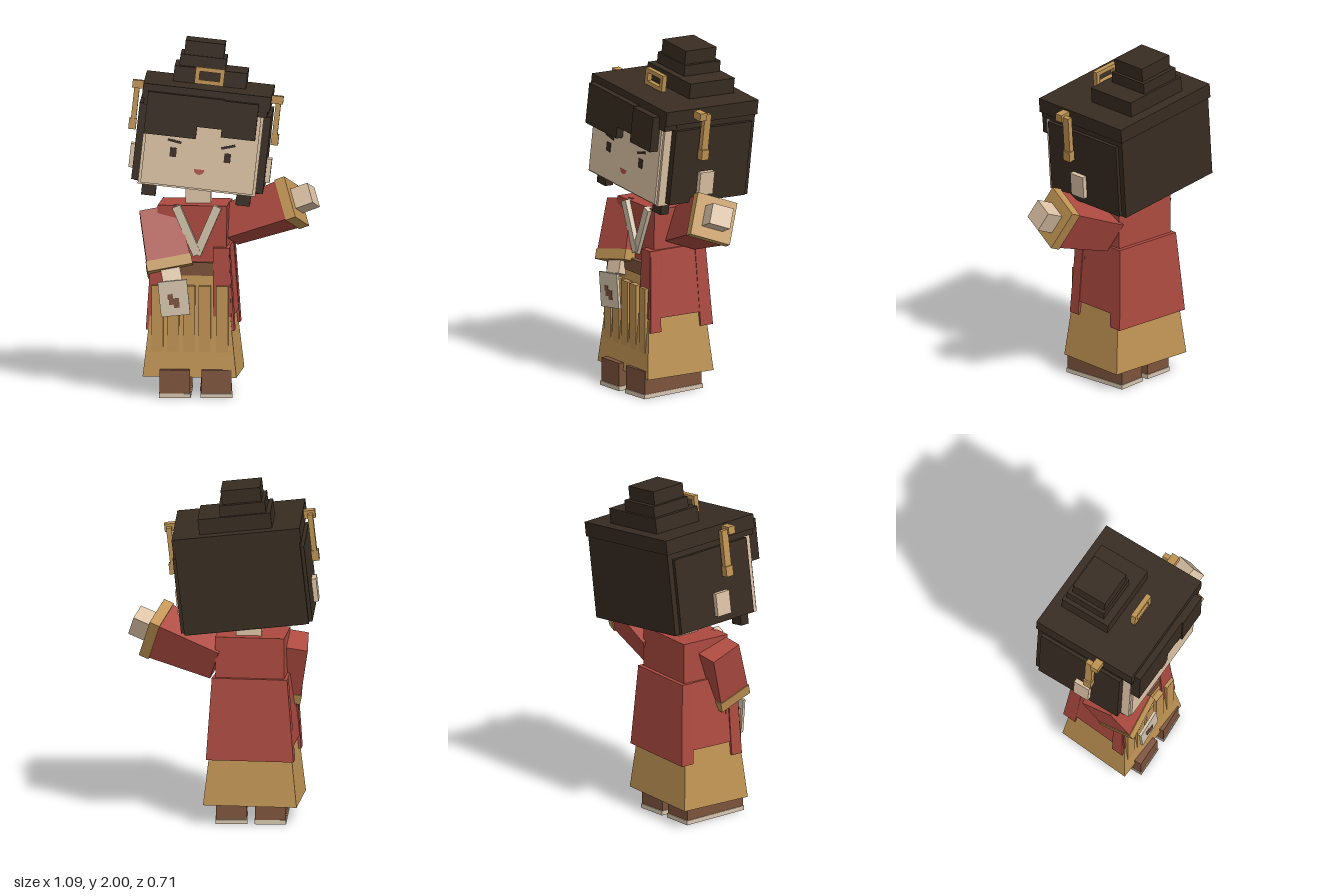
import * as THREE from 'three';

const mat = (name, color) => {
  const m = new THREE.MeshStandardMaterial({ color });
  m.name = name;
  return m;
};

export function createModel() {
  const hair = mat('dark hair', 0x382c22);
  const skin = mat('skin', 0xdcc2a5);
  const red = mat('red cloth', 0xac4a40);
  const gold = mat('gold cloth', 0xc09454);
  const brown = mat('brown leather', 0x7d533c);
  const cream = mat('cream cloth', 0xd6c6ae);
  const lip = mat('lip red', 0xb2544a);

  const model = new THREE.Group();
  model.name = 'robedFigure';

  const group = (name, parent, x, y, z) => {
    const g = new THREE.Group();
    g.name = name;
    g.position.set(x, y, z);
    parent.add(g);
    return g;
  };
  const add = (name, parent, geo, material) => {
    const m = new THREE.Mesh(geo, material);
    m.name = name;
    parent.add(m);
    return m;
  };
  // box from its extents
  const box = (name, parent, material, [x0, x1], [y0, y1], [z0, z1]) => {
    const m = add(name, parent, new THREE.BoxGeometry(x1 - x0, y1 - y0, z1 - z0), material);
    m.position.set((x0 + x1) / 2, (y0 + y1) / 2, (z0 + z1) / 2);
    return m;
  };
  // box whose bottom and top rectangles differ: [x0, x1, z0, z1]
  const taper = (name, parent, material, y0, bottom, y1, top) => {
    const geo = new THREE.BoxGeometry(1, 1, 1);
    const p = geo.attributes.position;
    for (let i = 0; i < p.count; i++) {
      const up = p.getY(i) > 0, r = up ? top : bottom;
      p.setXYZ(i, p.getX(i) > 0 ? r[1] : r[0], up ? y1 : y0, p.getZ(i) > 0 ? r[3] : r[2]);
    }
    geo.computeVertexNormals();
    return add(name, parent, geo, material);
  };
  const mirror = ([a, b], s) => (s > 0 ? [a, b] : [-b, -a]);

  // ---- Shoes
  for (const s of [-1, 1]) {
    const shoe = group('shoe', model, -0.165 + s * 0.114, 0, 0.085);
    shoe.rotation.y = s * 0.02;
    box('shoeSole', shoe, cream, [-0.09, 0.09], [0, 0.025], [-0.21, 0.21]);
    box('shoeUpper', shoe, brown, [-0.086, 0.086], [0.025, 0.16], [-0.205, 0.205]);
  }

  // ---- Skirt, jacket and torso, turned slightly
  const body = group('body', model, -0.18, 0, 0.04);
  body.rotation.y = -0.09;
  taper('skirt', body, gold, 0.115, [-0.267, 0.267, -0.215, 0.225], 0.72, [-0.2, 0.2, -0.16, 0.17]);
  for (const x of [-0.185, -0.095, -0.005, 0.085, 0.185])
    box('skirtPleat', body, gold, [x - 0.034, x + 0.034], [0.2, 0.635], [0.14, 0.212]);
  box('sash', body, brown, [-0.19, 0.19], [0.69, 0.765], [-0.15, 0.178]);
  taper('jacketSkirt', body, red, 0.46, [-0.243, 0.243, -0.205, 0.165], 0.85, [-0.205, 0.215, -0.185, 0.14]);
  taper('jacketBack', body, red, 0.38, [-0.25, 0.25, -0.222, -0.14], 0.85, [-0.21, 0.22, -0.19, -0.12]);
  for (const s of [-1, 1]) {
    const inner = mirror([0.13, 0.235], s), top = mirror([0.13, 0.22], s);
    taper('jacketFrontFlap', body, red, 0.46, [...inner, 0.1, 0.2], 0.85, [...top, 0.1, 0.18]);
    const side = mirror([0.2, 0.252], s), sideTop = mirror([0.18, 0.222], s);
    taper('jacketSidePanel', body, red, 0.38, [...side, 0.125, 0.195], 0.85, [...sideTop, 0.115, 0.175]);
  }
  taper('torso', body, red, 0.74, [-0.19, 0.2, -0.165, 0.145], 1.085, [-0.19, 0.205, -0.165, 0.14]);

  // crossed collar strips forming a V
  for (const s of [-1, 1]) {
    const strip = box('collarStrip', body, cream, [-0.024, 0.024], [-0.15, 0.15], [-0.02, 0.02]);
    strip.position.set(0.035 + s * 0.058, 0.945, s > 0 ? 0.146 : 0.15);
    strip.rotation.z = -s * 0.41;
  }
  box('neck', model, skin, [-0.225, -0.08], [1.03, 1.25], [-0.07, 0.07]);

  // ---- Lowered arm holding a paper tag
  const rightArm = group('rightArm', model, -0.375, 1.03, 0.06);
  rightArm.rotation.set(-0.33, 0, 0.19);
  taper('rightSleeve', rightArm, red, -0.29, [-0.125, 0.125, -0.105, 0.105], 0.01, [-0.11, 0.11, -0.1, 0.1]);
  box('rightCuff', rightArm, gold, [-0.13, 0.13], [-0.345, -0.285], [-0.11, 0.11]);
  box('rightHand', rightArm, skin, [-0.055, 0.055], [-0.42, -0.33], [-0.045, 0.075]);

  const tag = group('paperTag', model, -0.288, 0.571, 0.288);
  tag.rotation.z = 0.1;
  box('paper', tag, cream, [-0.083, 0.083], [-0.1, 0.1], [-0.008, 0.008]);
  box('tagPatch', tag, brown, [-0.035, -0.005], [-0.005, 0.025], [0.007, 0.011]);
  box('tagPatch', tag, brown, [-0.03, 0.028], [-0.035, 0], [0.007, 0.011]);
  box('tagPatch', tag, brown, [-0.005, 0.028], [-0.055, -0.03], [0.007, 0.011]);

  // ---- Raised arm: built upright, then swung out along +x
  const leftArm = group('leftArm', model, 0.07, 0.965, 0.01);
  leftArm.rotation.order = 'YZX';
  leftArm.rotation.set(-0.37, -0.19, 0.37);
  const reach = group('leftArmReach', leftArm, 0, 0, 0);
  reach.rotation.z = -Math.PI / 2;
  taper('leftSleeve', reach, red, -0.06, [-0.095, 0.095, -0.095, 0.095], 0.32, [-0.118, 0.118, -0.118, 0.118]);
  box('leftCuff', reach, gold, [-0.124, 0.124], [0.305, 0.365], [-0.124, 0.124]);
  box('leftHand', reach, skin, [-0.06, 0.06], [0.35, 0.47], [-0.065, 0.065]);

  // ---- Head, tilted to one side
  const head = group('head', model, -0.155, 1.18, -0.01);
  head.rotation.set(-0.035, -0.02, -0.11);
  box('skull', head, skin, [-0.335, 0.335], [0, 0.48], [-0.28, 0.3]);
  box('face', head, skin, [-0.32, 0.32], [0.01, 0.48], [0.29, 0.313]);

  // hair
  box('hairCap', head, hair, [-0.365, 0.365], [0.49, 0.575], [-0.32, 0.322]);
  box('hairBand', head, hair, [-0.352, 0.352], [0.455, 0.5], [-0.31, 0.318]);
  box('hairBack', head, hair, [-0.355, 0.355], [0.01, 0.5], [-0.312, 0.235]);
  box('fringeRight', head, hair, [-0.332, -0.035], [0.295, 0.535], [0.28, 0.36]);
  box('fringeMiddle', head, hair, [-0.035, 0.105], [0.365, 0.535], [0.28, 0.36]);
  box('fringeLeft', head, hair, [0.105, 0.3], [0.322, 0.53], [0.28, 0.367]);

  // bun in three tiers
  box('bunBase', head, hair, [-0.205, 0.21], [0.57, 0.664], [-0.255, 0.055]);
  box('bunMiddle', head, hair, [-0.18, 0.083], [0.66, 0.728], [-0.24, 0.01]);
  box('bunTop', head, hair, [-0.16, 0.065], [0.72, 0.808], [-0.215, 0.0]);

  for (const s of [-1, 1]) {
    box('hairSide', head, hair, mirror([0.33, 0.375], s), [0.015, 0.455], [-0.28, 0.25]);
    box('sideLock', head, hair, mirror([0.228, 0.31], s), [-0.065, 0.05], [0.2, 0.255]);
    box('ear', head, skin, mirror([0.36, 0.402], s), [0.06, 0.195], [-0.03, 0.068]);
    // hanging hair pins
    box('pinTop', head, gold, mirror([0.355, 0.43], s), [0.52, 0.565], [0.085, 0.132]);
    box('pinBar', head, gold, mirror([0.388, 0.418], s), [0.33, 0.55], [0.045, 0.09]);
    box('pinEnd', head, gold, mirror([0.385, 0.427], s), [0.28, 0.34], [0.042, 0.092]);
  }

  // open buckle in front of the bun
  const frame = new THREE.Shape([[-0.083, -0.048], [0.083, -0.048], [0.083, 0.048], [-0.083, 0.048]]
    .map(([x, y]) => new THREE.Vector2(x, y)));
  frame.holes.push(new THREE.Path([[-0.058, -0.024], [-0.058, 0.024], [0.058, 0.024], [0.058, -0.024]]
    .map(([x, y]) => new THREE.Vector2(x, y))));
  const buckle = add('hairBuckle', head,
    new THREE.ExtrudeGeometry(frame, { depth: 0.03, bevelEnabled: false }), gold);
  buckle.position.set(0.001, 0.635, 0.13);

  // facial features
  for (const s of [-1, 1]) {
    box('eye', head, hair, mirror([0.136, 0.173], s), [0.175, 0.228], [0.311, 0.317]);
    const brow = box('eyebrow', head, hair, [-0.04, 0.04], [-0.007, 0.007], [-0.003, 0.003]);
    brow.position.set(s * 0.153, 0.265, 0.314);
    brow.rotation.z = s > 0 ? 0.3 : -0.15;
  }
  const mouth = add('mouth', head, new THREE.CircleGeometry(0.03, 12, Math.PI, Math.PI), lip);
  mouth.position.set(0.003, 0.12, 0.316);

  return model;
}
